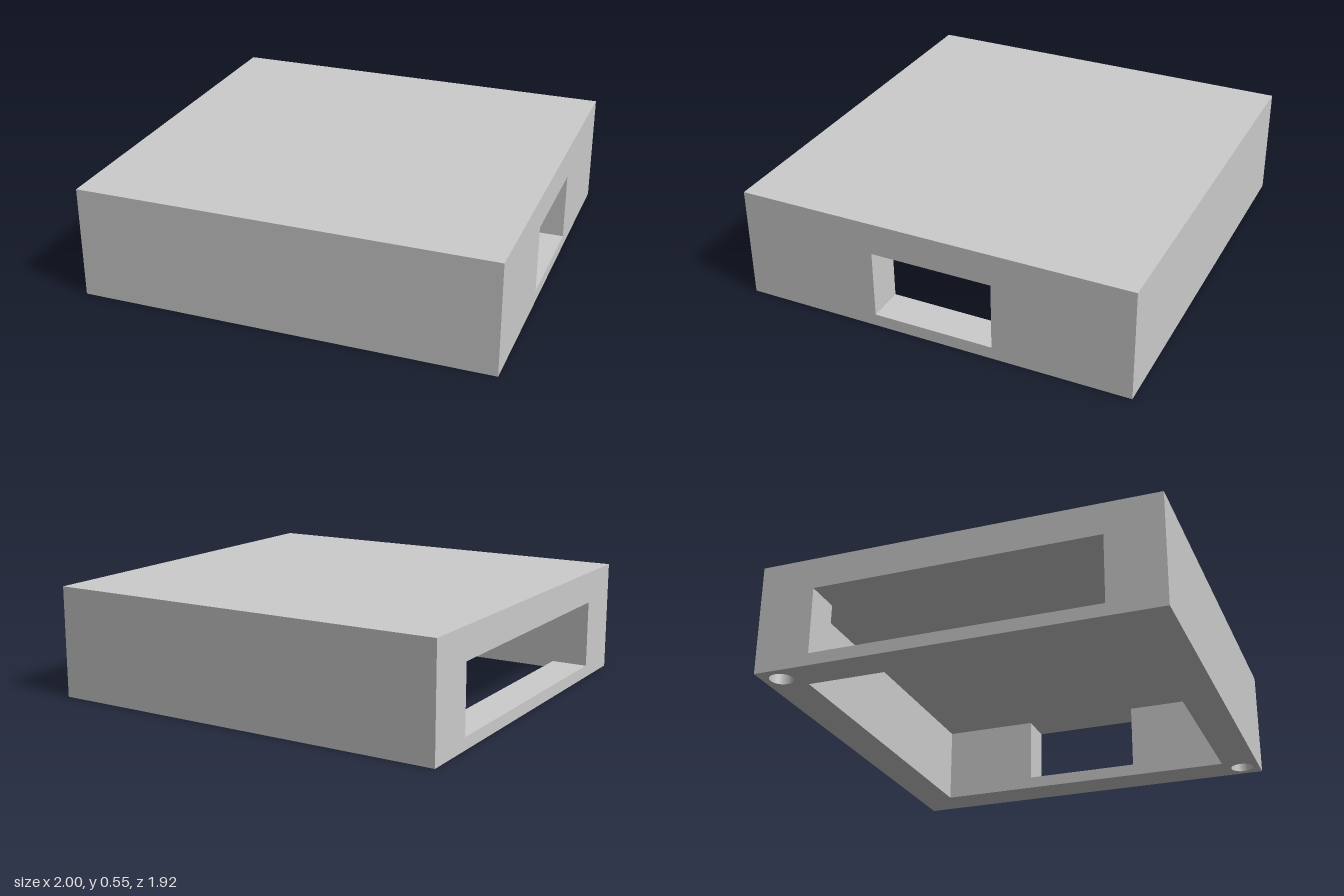
import * as THREE from 'three';
import { mergeGeometries, toCreasedNormals } from 'three/addons/utils/BufferGeometryUtils.js';

const X = 1, Z = 0.96, H = 0.545;        // outer half-width, half-depth, height
const IX = 0.82, IZ = 0.78, CEIL = 0.39; // cavity half-width, half-depth, ceiling
const SILL = 0.06;                       // lower edge of both side openings
const WINDOW = 0.295, SLOT = 0.69;       // half-lengths of the right and left openings
const BORE = 0.057, BORE_DEPTH = 0.39;
const BORES = [[0.91, 0.87], [-0.91, -0.87]];
const Q = Math.PI / 2;

const polygon = (pts) => new THREE.Shape(pts.map(([x, y]) => new THREE.Vector2(x, y)));
const rect = (x0, y0, x1, y1) => polygon([[x0, y0], [x1, y0], [x1, y1], [x0, y1]]);

// Flat panel drawn in XY, turned to face its direction and moved into place
function panel(shape, rx, ry, x, y, z) {
  const g = new THREE.ShapeGeometry(shape, 32);
  g.rotateX(rx).rotateY(ry).translate(x, y, z);
  return g.toNonIndexed();
}

function housingGeometry() {
  const parts = [];

  // Lid
  parts.push(panel(rect(-X, -Z, X, Z), -Q, 0, 0, H, 0));

  // Bottom rim with the cavity mouth and two corner bores
  const rim = rect(-X, -Z, X, Z);
  rim.holes.push(rect(-IX, -IZ, IX, IZ));
  for (const [x, z] of BORES) {
    rim.holes.push(new THREE.Path().absarc(x, z, BORE, 0, Math.PI * 2, true));
  }
  parts.push(panel(rim, Q, 0, 0, 0, 0));

  // Cavity ceiling, running flush through both side openings
  parts.push(panel(polygon([
    [-IX, -IZ], [IX, -IZ], [IX, -WINDOW], [X, -WINDOW], [X, WINDOW], [IX, WINDOW],
    [IX, IZ], [-IX, IZ], [-IX, SLOT], [-X, SLOT], [-X, -SLOT], [-IX, -SLOT],
  ]), Q, 0, 0, CEIL, 0));

  // Plain front and back walls, outside and inside
  for (const s of [1, -1]) {
    const out = s > 0 ? 0 : Math.PI;
    parts.push(panel(rect(-X, 0, X, H), 0, out, 0, 0, s * Z));
    parts.push(panel(rect(-IX, 0, IX, CEIL), 0, out + Math.PI, 0, 0, s * IZ));
  }

  // Side walls, each with its opening, sill and reveals
  for (const [s, w] of [[1, WINDOW], [-1, SLOT]]) {
    const outer = rect(-Z, 0, Z, H);
    outer.holes.push(rect(-w, SILL, w, CEIL));
    parts.push(panel(outer, 0, s * Q, s * X, 0, 0));

    const inner = polygon([
      [-IZ, 0], [IZ, 0], [IZ, CEIL], [w, CEIL], [w, SILL], [-w, SILL], [-w, CEIL], [-IZ, CEIL],
    ]);
    parts.push(panel(inner, 0, -s * Q, s * IX, 0, 0));

    const mid = s * (X + IX) / 2, half = (X - IX) / 2;
    parts.push(panel(rect(-half, -w, half, w), -Q, 0, mid, SILL, 0));
    const reveal = rect(-half, SILL, half, CEIL);
    parts.push(panel(reveal, 0, Math.PI, mid, 0, w));
    parts.push(panel(reveal, 0, 0, mid, 0, -w));
  }

  // Blind bores, facing inward
  const profile = [[0, BORE_DEPTH], [BORE, BORE_DEPTH], [BORE, 0]].map(([r, y]) => new THREE.Vector2(r, y));
  for (const [x, z] of BORES) {
    const bore = new THREE.LatheGeometry(profile, 32).translate(x, 0, z);
    parts.push(toCreasedNormals(bore.toNonIndexed(), 0.6));
  }
  return mergeGeometries(parts);
}

export function createModel() {
  const group = new THREE.Group();
  group.name = 'openBottomBox';
  const housing = new THREE.Mesh(
    housingGeometry(),
    new THREE.MeshStandardMaterial({ color: 0xcccccc }),
  );
  housing.name = 'housing';
  group.add(housing);
  return group;
}
